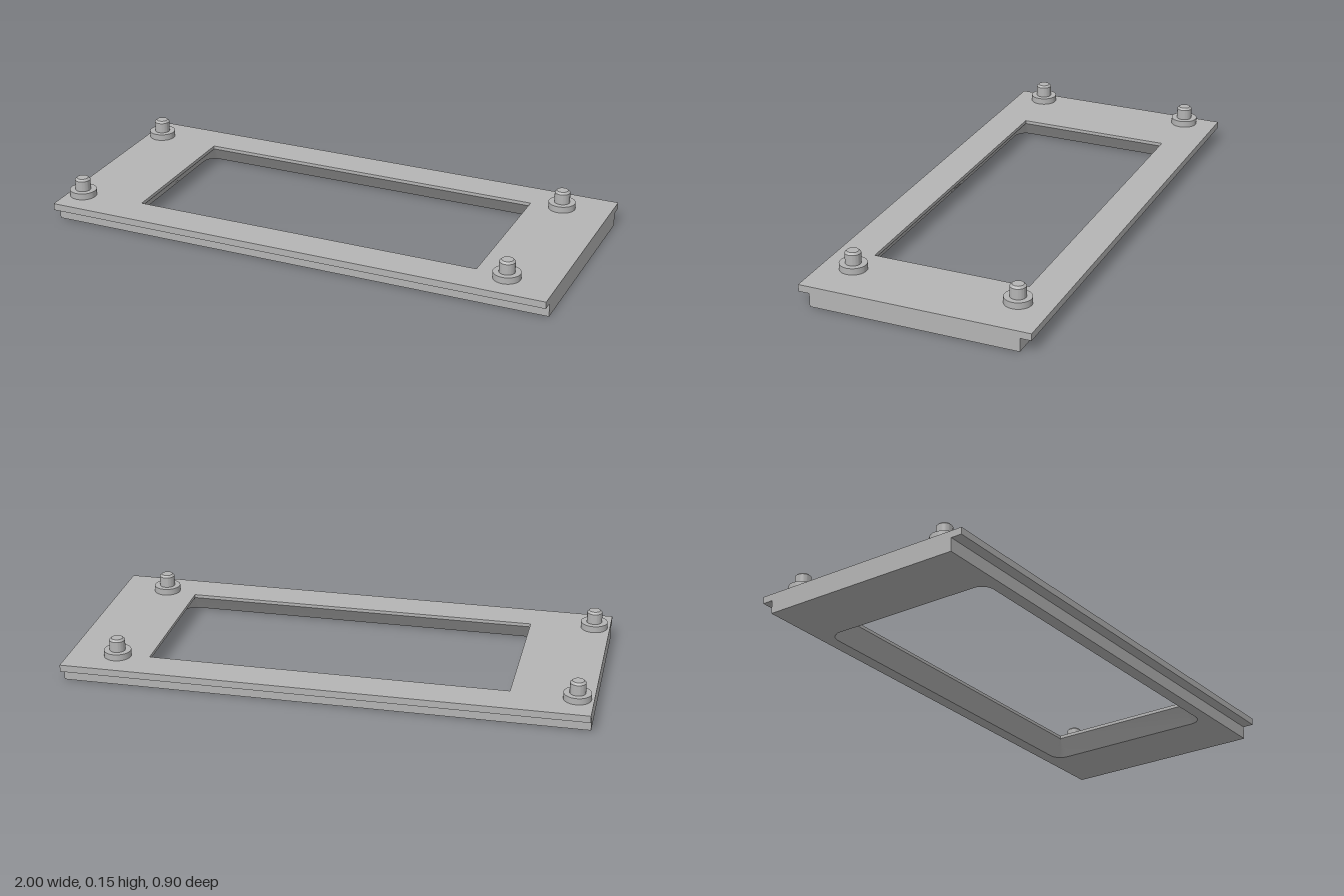
import * as THREE from 'three';
import { toCreasedNormals } from 'three/addons/utils/BufferGeometryUtils.js';

const CORNER_STEPS = 8;

// Rectangular ring at height y, half sizes hx and hz, corners rounded by r
function ring(hx, hz, y, r = 0) {
  const points = [];
  const signs = [[1, 1], [-1, 1], [-1, -1], [1, -1]];
  signs.forEach(([sx, sz], corner) => {
    for (let i = 0; i <= CORNER_STEPS; i++) {
      const a = (corner + i / CORNER_STEPS) * Math.PI / 2;
      points.push(new THREE.Vector3(
        sx * (hx - r) + r * Math.cos(a), y, sz * (hz - r) + r * Math.sin(a)));
    }
  });
  return points;
}

// Closed loft through rings; the last ring joins the first
function loft(rings) {
  const positions = [];
  const tri = new THREE.Triangle();
  const add = (a, b, c) => {
    if (tri.set(a, b, c).getArea() < 1e-9) return;
    for (const p of [a, b, c]) positions.push(p.x, p.y, p.z);
  };
  rings.forEach((low, i) => {
    const high = rings[(i + 1) % rings.length];
    low.forEach((a, j) => {
      const k = (j + 1) % low.length;
      add(a, high[j], high[k]);
      add(a, high[k], low[k]);
    });
  });
  const geometry = new THREE.BufferGeometry();
  geometry.setAttribute('position', new THREE.Float32BufferAttribute(positions, 3));
  return toCreasedNormals(geometry, 0.5);
}

function lathe(profile) {
  const points = profile.map(([r, y]) => new THREE.Vector2(r, y));
  return toCreasedNormals(new THREE.LatheGeometry(points, 40), 0.5);
}

export function createModel() {
  const model = new THREE.Group();
  model.name = 'bezelFrame';
  const grey = new THREE.MeshStandardMaterial({ color: 0xb4b4b4 });
  grey.name = 'grey';

  const top = 0.079, flange = 0.052, lip = 0.066, flare = 0.05;
  const openX = 0.69, openZ = 0.306;

  // Frame: stepped long sides, window with a thin lip that flares downwards
  const frame = new THREE.Mesh(loft([
    ring(1, 0.405, 0),
    ring(1, 0.405, flange),
    ring(1, 0.448, flange),
    ring(1, 0.448, top),
    ring(openX, openZ, top),
    ring(openX, openZ, lip),
    ring(openX + flare, openZ + flare, 0, flare),
  ]), grey);
  frame.name = 'frame';
  model.add(frame);

  // Four mounting studs, each a collar with a chamfered pin
  const collarGeometry = lathe([[0.052, 0], [0.052, 0.025], [0, 0.025]]);
  const pinGeometry = lathe([[0.03, 0.025], [0.03, 0.066], [0.022, 0.074], [0, 0.074]]);
  for (const x of [-0.938, 0.813]) {
    for (const z of [-0.317, 0.327]) {
      const stud = new THREE.Group();
      stud.name = 'mountingStud';
      const collar = new THREE.Mesh(collarGeometry, grey);
      collar.name = 'collar';
      const pin = new THREE.Mesh(pinGeometry, grey);
      pin.name = 'pin';
      stud.add(collar, pin);
      stud.position.set(x, top, z);
      model.add(stud);
    }
  }
  return model;
}
